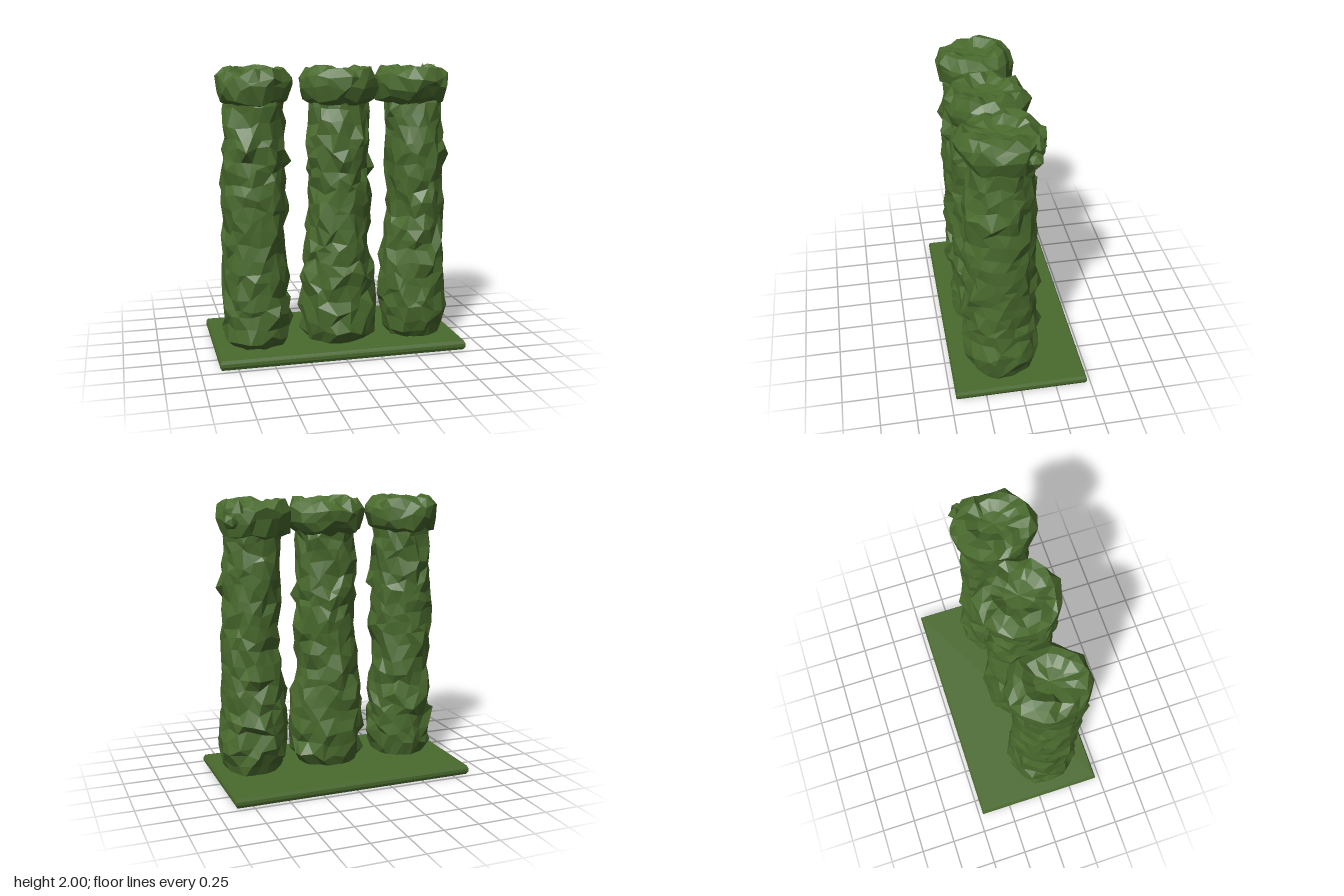
import * as THREE from 'three';

const SIDES = 18;

// small seeded random generator
function seeded(seed) {
  let s = seed;
  return () => (s = (s * 16807) % 2147483647) / 2147483647;
}

// Rough column skin: sections are [y, xMin, xMax, zMin, zMax], interpolated and roughened
function roughColumn(sections, stepY, rough, seed, peak) {
  const rnd = seeded(seed);
  for (let i = 0; i < 10; i++) rnd();
  const rows = [];
  for (let s = 0; s < sections.length - 1; s++) {
    const a = sections[s], b = sections[s + 1];
    const n = Math.max(1, Math.round((b[0] - a[0]) / stepY));
    for (let k = 0; k < n; k++) rows.push(a.map((v, j) => v + (b[j] - v) * k / n));
  }
  rows.push(sections[sections.length - 1]);

  const pos = [], idx = [];
  rows.forEach(([y, x0, x1, z0, z1], r) => {
    const edge = r === 0 || r === rows.length - 1;
    for (let i = 0; i < SIDES; i++) {
      const a = (i + (r % 2) * 0.5 + (rnd() - 0.5) * 0.65) / SIDES * Math.PI * 2;
      const spike = rnd() > 0.95 ? rough * 0.7 : 0;
      const out = 1 + (rnd() - 0.55) * rough + spike;
      pos.push(
        (x0 + x1) / 2 + Math.cos(a) * (x1 - x0) / 2 * out,
        y + (rnd() - 0.5) * (edge ? 0.012 : stepY * 0.75),
        (z0 + z1) / 2 + Math.sin(a) * (z1 - z0) / 2 * out);
    }
  });
  for (let r = 0; r < rows.length - 1; r++) for (let i = 0; i < SIDES; i++) {
    const j = (i + 1) % SIDES;
    const a = r * SIDES + i, b = r * SIDES + j, c = a + SIDES, d = b + SIDES;
    if (r % 2) idx.push(a, d, b, a, c, d);
    else idx.push(a, c, b, b, c, d);
  }
  // closing fan on top
  const [, x0, x1, z0, z1] = rows[rows.length - 1];
  const top = (rows.length - 1) * SIDES;
  pos.push((x0 + x1) / 2, peak, (z0 + z1) / 2);
  for (let i = 0; i < SIDES; i++) idx.push(top + i, top + SIDES, top + (i + 1) % SIDES);

  const geo = new THREE.BufferGeometry();
  geo.setAttribute('position', new THREE.Float32BufferAttribute(pos, 3));
  geo.setIndex(idx);
  const flat = geo.toNonIndexed();
  flat.computeVertexNormals();
  return flat;
}

// Shaft outlines: [y, xMin, xMax, zMin, zMax]
const COLUMNS = [
  { name: 'rightColumn', seed: 4127, shaft: [
    [0.05, -0.74, -0.38, -0.09, 0.28], [0.14, -0.80, -0.35, -0.14, 0.35],
    [0.45, -0.81, -0.34, -0.14, 0.36], [0.90, -0.79, -0.36, -0.13, 0.34],
    [1.15, -0.80, -0.34, -0.13, 0.34], [1.45, -0.78, -0.36, -0.12, 0.34],
    [1.80, -0.77, -0.36, -0.11, 0.30]],
    cap: [-0.815, -0.31, -0.18, 0.36] },
  { name: 'middleColumn', seed: 90533, shaft: [
    [0.05, -0.19, 0.22, -0.09, 0.29], [0.14, -0.23, 0.28, -0.15, 0.37],
    [0.50, -0.24, 0.28, -0.15, 0.37], [0.80, -0.20, 0.24, -0.13, 0.35],
    [1.15, -0.18, 0.24, -0.13, 0.34], [1.45, -0.20, 0.23, -0.12, 0.35],
    [1.80, -0.18, 0.22, -0.11, 0.30]],
    cap: [-0.245, 0.295, -0.18, 0.37] },
  { name: 'leftColumn', seed: 271829, shaft: [
    [0.05, 0.41, 0.77, -0.08, 0.29], [0.20, 0.35, 0.83, -0.15, 0.37],
    [0.45, 0.32, 0.80, -0.15, 0.37], [0.70, 0.35, 0.79, -0.14, 0.36],
    [0.95, 0.40, 0.79, -0.13, 0.35], [1.40, 0.38, 0.78, -0.13, 0.35],
    [1.80, 0.38, 0.76, -0.12, 0.30]],
    cap: [0.30, 0.805, -0.18, 0.37] },
];

export function createModel() {
  const group = new THREE.Group();
  const green = new THREE.MeshStandardMaterial({ color: 0x4a6b2e, flatShading: true });
  green.name = 'mossGreen';
  const add = (name, geo, parent = group) => {
    const mesh = new THREE.Mesh(geo, green);
    mesh.name = name;
    parent.add(mesh);
    return mesh;
  };

  // base plate, slightly tapered at top and bottom edges
  const plate = new THREE.BoxGeometry(1.745, 0.066, 0.935, 1, 3, 1);
  const p = plate.attributes.position;
  for (let i = 0; i < p.count; i++) {
    if (Math.abs(p.getY(i)) > 0.03) {
      p.setX(i, p.getX(i) - Math.sign(p.getX(i)) * 0.012);
      p.setZ(i, p.getZ(i) - Math.sign(p.getZ(i)) * 0.010);
    }
  }
  plate.computeVertexNormals();
  add('basePlate', plate).position.set(0, 0.033, -0.003);

  for (const { name, seed, shaft, cap } of COLUMNS) {
    const column = new THREE.Group();
    column.name = name;
    group.add(column);
    add('shaft', roughColumn(shaft, 0.085, 0.17, seed, 1.82), column);

    // bulging cap with a shallow sunken top
    const [x0, x1, z0, z1] = cap;
    const ring = (y, k) => [y, x0 + k, x1 - k, z0 + k, z1 - k];
    add('cap', roughColumn([
      ring(1.73, 0.09), ring(1.77, 0.025), ring(1.85, -0.002), ring(1.92, 0.0),
      ring(1.965, 0.04), ring(1.975, 0.1), ring(1.945, 0.17)], 0.08, 0.10, seed + 77, 1.935), column);
  }

  // small crooked tip on the left column's cap
  const tip = add('capTip', new THREE.ConeGeometry(0.05, 0.09, 4));
  tip.position.set(0.71, 1.955, -0.11);
  // rough lump at the back of the same cap
  const lump = add('capLump', new THREE.IcosahedronGeometry(0.055, 0));
  lump.position.set(0.76, 1.85, -0.08);

  return group;
}
